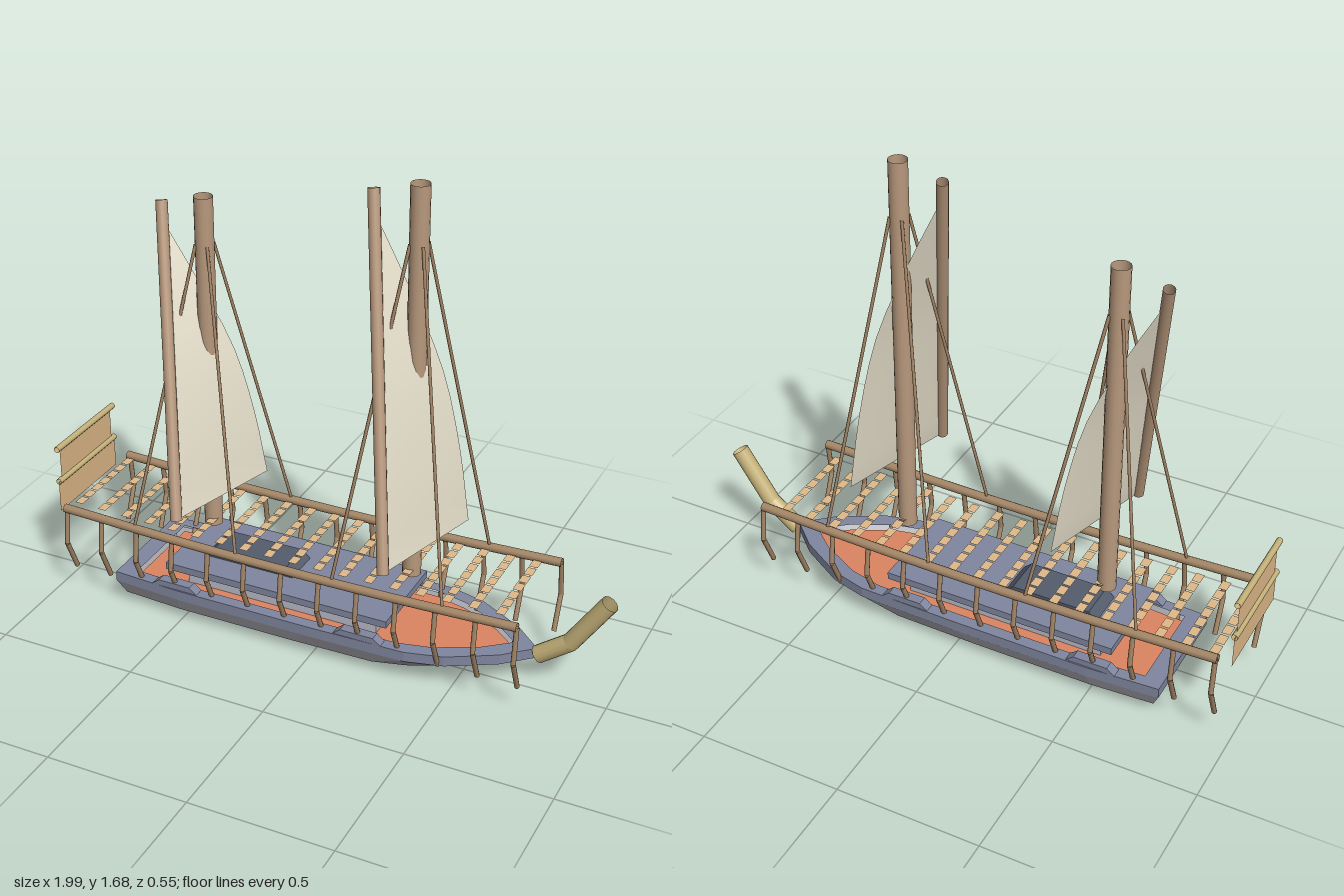
import * as THREE from 'three';

const V = (x, y, z) => new THREE.Vector3(x, y, z);
const Z0 = -0.045; // the keel line lies slightly off the origin

const mat = (name, color, side = THREE.FrontSide, flatShading = false) => {
  const m = new THREE.MeshStandardMaterial({ color, side, flatShading });
  m.name = name;
  return m;
};

export function createModel() {
  const DS = THREE.DoubleSide;
  const hullGrey = mat('hull grey', 0xacacb4, DS, true);
  const steelBlue = mat('steel blue', 0x80869f);
  const deckOrange = mat('deck orange', 0xdc8560);
  const cabinGrey = mat('cabin grey', 0xbabac8);
  const hatchDark = mat('hatch slate', 0x545c6c);
  const wood = mat('mast wood', 0xb8997d, DS);
  const darkWood = mat('rail wood', 0xa38565, DS);
  const plankTan = mat('plank tan', 0xdfba89, DS);
  const ochre = mat('spar ochre', 0xc6b27a, DS);
  const canvas = mat('sail canvas', 0xe4ddc9, DS);

  const model = new THREE.Group();
  const ship = new THREE.Group();
  ship.name = 'ship';
  ship.position.z = Z0;
  model.add(ship);

  const add = (name, geo, material, parent = ship) => {
    const m = new THREE.Mesh(geo, material);
    m.name = name;
    parent.add(m);
    return m;
  };
  const group = (name, parent = ship) => {
    const g = new THREE.Group();
    g.name = name;
    parent.add(g);
    return g;
  };
  const box = (name, x0, x1, y0, y1, halfZ, material) =>
    add(name, new THREE.BoxGeometry(x1 - x0, y1 - y0, halfZ * 2), material)
      .position.set((x0 + x1) / 2, (y0 + y1) / 2, 0);
  // open round bar between two points
  const rod = (name, a, b, r, material, parent = ship, sides = 10) => {
    const m = add(name, new THREE.CylinderGeometry(r, r, a.distanceTo(b), sides, 1, true), material, parent);
    m.position.copy(a).add(b).multiplyScalar(0.5);
    m.quaternion.setFromUnitVectors(V(0, 1, 0), b.clone().sub(a).normalize());
    return m;
  };

  // Hull outline seen from above, stern to bow on one side, then mirrored
  const half = [[-0.755, 0.205], [-0.5, 0.22], [0, 0.22], [0.35, 0.213], [0.48, 0.18], [0.64, 0.09], [0.73, 0.008]];
  const outline = (stern, bow, width) => {
    const side = half.map(([x, z]) => [stern + (x + 0.755) * (bow - stern) / 1.485, z * width]);
    return side.concat(side.slice().reverse().map(([x, z]) => [x, -z]));
  };
  const slab = (pts, y, h, hole) => {
    const s = new THREE.Shape(pts.map(p => new THREE.Vector2(...p)));
    if (hole) s.holes.push(new THREE.Path(hole.map(p => new THREE.Vector2(...p))));
    return new THREE.ExtrudeGeometry(s, { depth: h, bevelEnabled: false }).rotateX(-Math.PI / 2).translate(0, y, 0);
  };

  // Lower hull lofted through three waterlines
  const rings = [[0, -0.68, 0.25, 0.64], [0.038, -0.73, 0.55, 0.88], [0.095, -0.755, 0.73, 1]]
    .map(([y, s, b, w]) => outline(s, b, w).map(([x, z]) => [x, y, z]));
  const pos = [];
  const n = rings[0].length;
  for (let i = 0; i < n; i++) {
    const j = (i + 1) % n;
    for (let k = 0; k < 2; k++) {
      const a = rings[k][i], b = rings[k][j], c = rings[k + 1][j], d = rings[k + 1][i];
      pos.push(...a, ...b, ...c, ...a, ...c, ...d);
    }
    pos.push(...rings[0][j], ...rings[0][i], -0.2, 0, 0);
  }
  const hull = new THREE.BufferGeometry();
  hull.setAttribute('position', new THREE.Float32BufferAttribute(pos, 3));
  hull.computeVertexNormals();
  add('lowerHull', hull, hullGrey);

  // Gunwale, deck and deckhouse
  const inner = outline(-0.69, 0.65, 0.81);
  add('gunwale', slab(outline(-0.755, 0.73, 1), 0.093, 0.037, inner), steelBlue);
  add('deck', slab(inner, 0.095, 0.012), deckOrange);
  box('cabin', -0.51, 0.21, 0.107, 0.176, 0.12, cabinGrey);
  box('cabinRoof', -0.57, 0.268, 0.174, 0.2, 0.172, steelBlue);
  const trapezoid = (w0, w1, h, depth) => new THREE.ExtrudeGeometry(
    new THREE.Shape([[-w0, 0], [w0, 0], [w1, h], [-w1, h]].map(p => new THREE.Vector2(...p))),
    { depth, bevelEnabled: false }).translate(0, 0, -depth / 2);
  add('hatch', trapezoid(0.17, 0.14, 0.028, 0.14), hatchDark).position.set(-0.3, 0.2, 0);
  for (const x of [-0.515, 0.18])
    for (const s of [-1, 1])
      add('gunwaleRise', trapezoid(0.09, 0.06, 0.024, 0.036), steelBlue).position.set(x, 0.128, s * 0.197);

  // Side rails with a slight sag, on bent posts
  const railY = x => 0.325 + 0.018 * ((x + 0.1) / 0.84) ** 2;
  for (const s of [-1, 1]) {
    const rail = group(s > 0 ? 'leftRail' : 'rightRail');
    const path = new THREE.CatmullRomCurve3(
      [-0.945, -0.52, -0.1, 0.32, 0.738].map(x => V(x, railY(x), s * 0.21)));
    add('railBar', new THREE.TubeGeometry(path, 16, 0.016, 10), darkWood, rail);
    for (let i = 0; i < 13; i++) {
      const x = -0.937 + i * 0.1394;
      const knee = V(x, 0.21, s * 0.226);
      rod('postTop', V(x, railY(x), s * 0.21), knee, 0.009, darkWood, rail, 8);
      rod('postFoot', knee, V(x, 0.09, s * 0.175), 0.009, darkWood, rail, 8);
    }
  }

  // Rows of short flat planks between the rails
  const planks = group('crossPlanks');
  const plank = new THREE.PlaneGeometry(0.03, 0.044).rotateX(-Math.PI / 2);
  for (let i = 0; i < 18; i++) {
    const x = -0.922 + i * 0.093;
    for (let k = -3; k <= 3; k++) add('plank', plank, plankTan, planks).position.set(x, railY(x), k * 0.051 - 0.015);
  }

  // Stern screen: two panels hung from rods
  const screen = group('sternScreen');
  for (const [y, h, zHalf] of [[0.365, 0.115, 0.184], [0.492, 0.115, 0.165]]) {
    add('screenPanel', new THREE.PlaneGeometry(zHalf * 2, h).rotateY(-Math.PI / 2), plankTan, screen)
      .position.set(-0.983, y, 0);
    rod('screenRod', V(-0.983, y + 0.06, -0.184), V(-0.983, y + 0.06, 0.184), 0.011, ochre, screen);
  }

  // Bent bowsprit
  const sprit = group('bowsprit');
  const elbow = V(0.85, 0.188, 0);
  rod('bowspritFoot', V(0.742, 0.108, 0), elbow, 0.031, ochre, sprit, 12);
  rod('bowspritTip', elbow, V(0.972, 0.373, 0), 0.031, ochre, sprit, 12);
  add('bowspritJoint', new THREE.SphereGeometry(0.031, 12, 8), ochre, sprit).position.copy(elbow);

  // Masts, each with a slanted yard, a sail and four shrouds
  const leech = new THREE.CatmullRomCurve3([
    V(-0.142, 1.1, 0.02), V(-0.035, 0.86, -0.01), V(0.07, 0.575, -0.052), V(0.122, 0.285, -0.09), V(0.148, 0, -0.125),
  ]).getPoints(12);
  const rig = (name, x, top, scale, shroudTop) => {
    const g = group(name);
    g.position.x = x;
    rod('mast', V(0, 0.3, 0), V(0, top, 0), 0.032, wood, g, 16);
    const foot = V(0.028, 0.475, 0.3);
    const peak = V(-0.155, 0.475 + 1.17 * scale, 0);
    rod('yard', peak, foot, 0.02, wood, g, 12);

    const p = [], idx = [];
    leech.forEach((l, i) => {
      const luff = foot.clone().lerp(peak, l.y / 1.17);
      p.push(luff.x, luff.y, luff.z, l.x, 0.475 + l.y * scale, l.z);
      if (i) idx.push(2 * i - 2, 2 * i, 2 * i + 1, 2 * i - 2, 2 * i + 1, 2 * i - 1);
    });
    const sail = new THREE.BufferGeometry();
    sail.setAttribute('position', new THREE.Float32BufferAttribute(p, 3));
    sail.setIndex(idx);
    sail.computeVertexNormals();
    add('sail', sail, canvas, g);

    for (const sx of [-1, 1])
      for (const sz of [-1, 1])
        rod('shroud', V(sx * 0.022, shroudTop, sz * 0.022), V(sx * 0.198, 0.33, sz * 0.21), 0.006, darkWood, g, 6);
  };
  rig('foreRig', 0.283, 1.685, 1, 1.49);
  rig('aftRig', -0.47, 1.515, 0.855, 1.35);

  return model;
}
